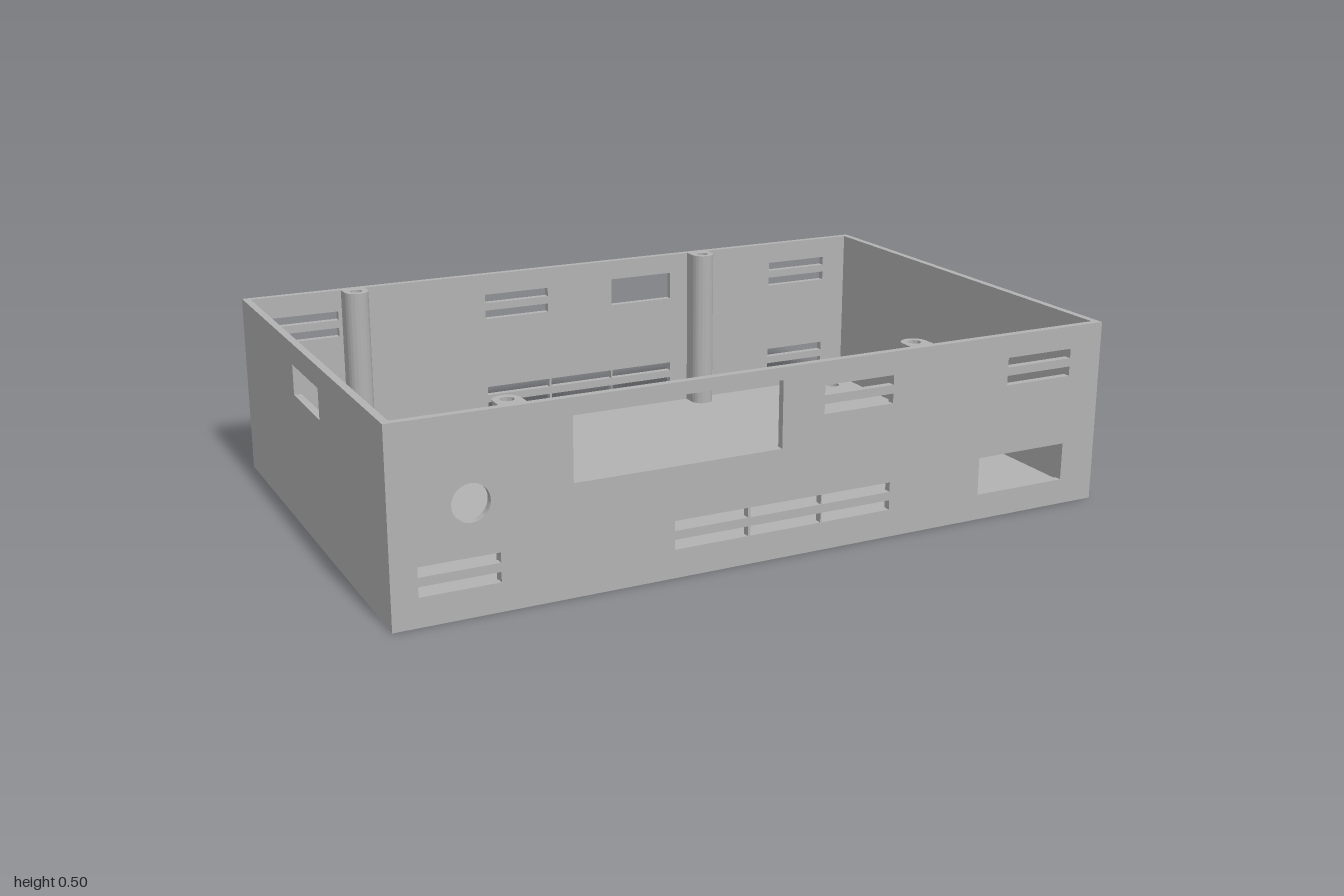
import * as THREE from 'three';
import { toCreasedNormals } from 'three/addons/utils/BufferGeometryUtils.js';

const W = 1, D = 0.64, H = 0.5, T = 0.02; // half width, half depth, height, wall thickness

function rect(x0, y0, x1, y1, Kind = THREE.Path) {
  const p = new Kind();
  p.moveTo(x0, y0);
  p.lineTo(x1, y0);
  p.lineTo(x1, y1);
  p.lineTo(x0, y1);
  p.closePath();
  return p;
}

function circle(x, y, r) {
  return new THREE.Path().absarc(x, y, r, 0, Math.PI * 2, false);
}

// Extrude an outline with holes, keeping round parts smooth
function plate(outline, holes, depth) {
  outline.holes.push(...holes);
  const geo = new THREE.ExtrudeGeometry(outline, { depth, bevelEnabled: false, curveSegments: 20 });
  return toCreasedNormals(geo, 0.6);
}

// A pair of horizontal vent slots starting at x, in the upper or lower row
function vents(x, upper) {
  const base = upper ? 0.363 : 0.075;
  return [0, 0.049].map(dy => rect(x, base + dy, x + 0.203, base + dy + 0.026));
}

export function createModel() {
  const model = new THREE.Group();
  model.name = 'enclosure';
  const grey = new THREE.MeshStandardMaterial({ color: 0xb2b2b2 });
  grey.name = 'grey plastic';

  function add(name, geo, x = 0, y = 0, z = 0) {
    const mesh = new THREE.Mesh(geo, grey);
    mesh.name = name;
    mesh.position.set(x, y, z);
    model.add(mesh);
  }

  // Bottom vents shared by the front and back walls
  const centreVents = () => [-0.28, -0.07, 0.137].flatMap(x => vents(x, false));

  // Front wall: display window, round button hole, socket opening, vents
  add('frontWall', plate(rect(-W, 0, W, H, THREE.Shape), [
    rect(-0.545, 0.29, 0.017, 0.467),
    circle(-0.8, 0.283, 0.048),
    rect(0.62, 0.07, 0.895, 0.173),
    ...centreVents(), ...vents(-0.934, false),
    ...vents(0.137, true), ...vents(0.697, true),
  ], T), 0, 0, D - T);

  // Back wall: small port opening and vents
  add('backWall', plate(rect(-W, 0, W, H, THREE.Shape), [
    rect(0.137, 0.36, 0.34, 0.442),
    ...centreVents(), ...vents(-0.28, true),
    ...[-0.934, 0.697].flatMap(x => [...vents(x, true), ...vents(x, false)]),
  ], T), 0, 0, -D);

  // Side walls: the one at -x has a port opening
  const side = holes => plate(rect(T - D, 0, D - T, H, THREE.Shape), holes, T).rotateY(Math.PI / 2);
  add('portSideWall', side([rect(-0.118, 0.36, 0.118, 0.442)]), -W);
  add('plainSideWall', side([]), W - T);

  // Floor with four mounting holes
  const mounts = [-1, 1].flatMap(sx => [-1, 1].map(sz => circle(sx * 0.905, sz * 0.545, 0.021)));
  add('floor', plate(rect(T - W, T - D, W - T, D - T, THREE.Shape), mounts, T).rotateX(-Math.PI / 2));

  // Hollow screw posts merging into the front and back walls
  for (const s of [1, -1]) {
    for (const x of [-0.685, 0.435]) {
      const r = 0.035, cy = s * 0.586, wall = s * (D - T);
      const outline = new THREE.Shape();
      outline.moveTo(x - r, wall);
      outline.lineTo(x - r, cy);
      outline.absarc(x, cy, r, Math.PI, s > 0 ? Math.PI * 2 : 0, s < 0);
      outline.lineTo(x + r, wall);
      outline.closePath();
      const geo = plate(outline, [circle(x, cy, 0.017)], H - T).rotateX(-Math.PI / 2);
      add(s > 0 ? 'backScrewPost' : 'frontScrewPost', geo, 0, T, 0);
    }
  }
  return model;
}
